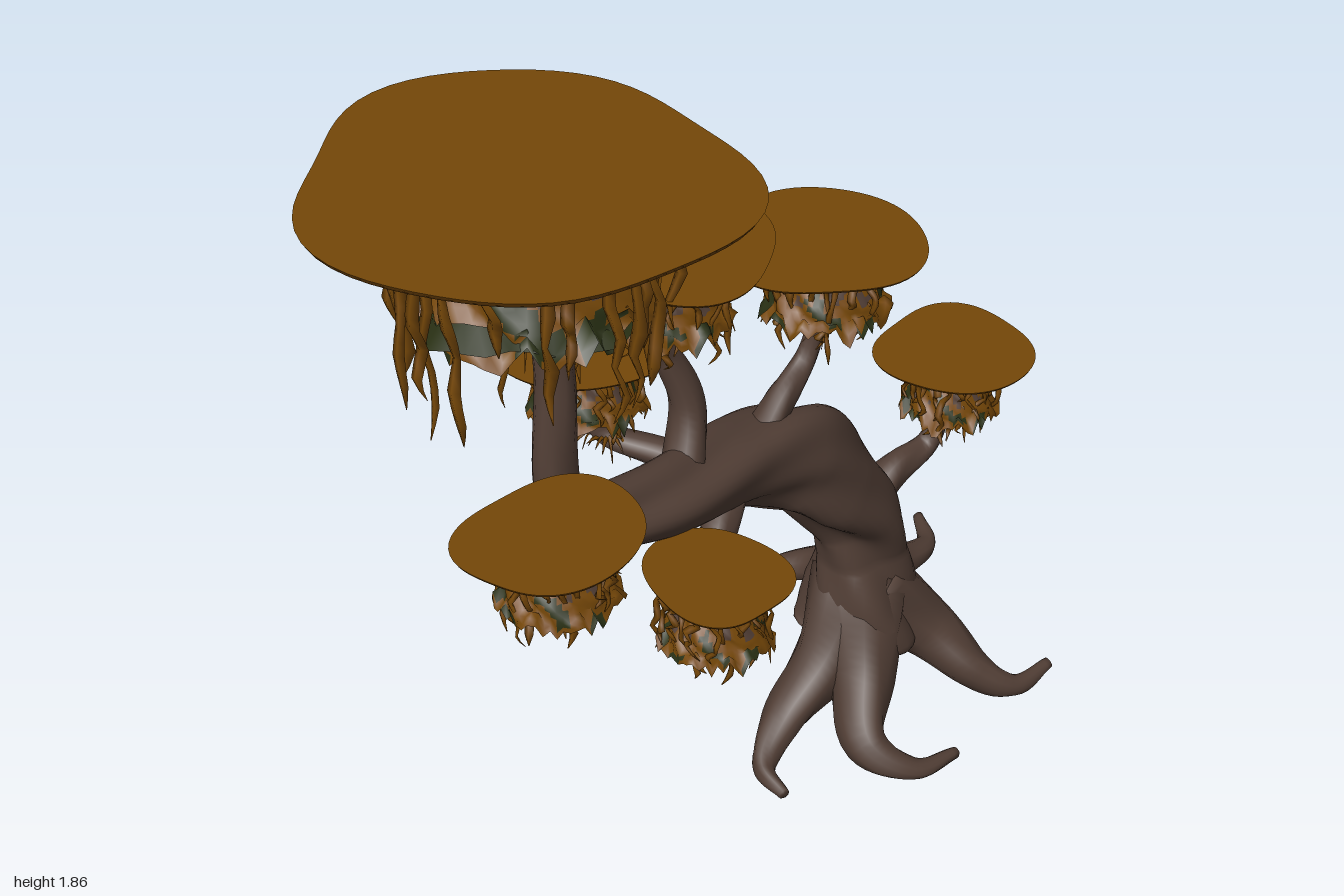
import * as THREE from 'three';
import { mergeGeometries } from 'three/addons/utils/BufferGeometryUtils.js';

const bark = new THREE.MeshStandardMaterial({ color: 0x513e35 });
bark.name = 'bark brown';
const ochre = new THREE.MeshStandardMaterial({ color: 0x754708, side: THREE.DoubleSide });
ochre.name = 'ochre foliage';
const green = new THREE.MeshStandardMaterial({ color: 0x293014, side: THREE.DoubleSide });
green.name = 'dark green foliage';

let seed = 7;
const rand = (a = 0, b = 1) => {
  seed = (seed * 16807) % 2147483647;
  return a + (b - a) * seed / 2147483647;
};

// Closed ring of n points from a function of the angle
const ringOf = (n, point) => Array.from({ length: n }, (_, j) => point(j / n * Math.PI * 2, j));

// Skin a list of equal-length closed rings; pick(i, j) chooses the material group
function loft(rings, pick = () => 0) {
  const n = rings[0].length, lists = [[], [], []];
  for (let i = 0; i < rings.length - 1; i++)
    for (let j = 0; j < n; j++) {
      const k = (j + 1) % n, a = i * n + j, b = i * n + k, c = a + n, d = b + n;
      lists[pick(i, j)].push(a, b, c, b, d, c);
    }
  const geo = new THREE.BufferGeometry().setFromPoints(rings.flat());
  geo.setIndex(lists.flat());
  let start = 0;
  lists.forEach((list, m) => {
    if (list.length < geo.index.count) geo.addGroup(start, list.length, m);
    start += list.length;
  });
  if (lists[0].length === geo.index.count) geo.clearGroups();
  geo.computeVertexNormals();
  return geo;
}

// Give a path of [x, y, z] points a radius that shrinks from r0 to r1
const taper = (path, r0, r1, power) => path.map((p, i) =>
  [...p, r1 + (r0 - r1) * (1 - i / (path.length - 1)) ** power]);

// Limb through [x, y, z, radius] points, with twisted ridges
function limb(points, { sides = 12, steps = 8, ridge = 0.07, twist = 5, flat = 1 } = {}) {
  const curve = new THREE.CatmullRomCurve3(points.map(p => new THREE.Vector3(p[0], p[1], p[2])));
  const spans = points.length - 1, total = spans * steps, rings = [];
  const N = new THREE.Vector3(0.31, 0.2, 0.93), B = new THREE.Vector3();
  for (let s = 0; s <= total; s++) {
    const t = s / total, k = Math.min(Math.floor(t * spans), spans - 1);
    const r = THREE.MathUtils.lerp(points[k][3], points[k + 1][3], t * spans - k);
    const P = curve.getPoint(t), T = curve.getTangent(t);
    N.addScaledVector(T, -N.dot(T)).normalize();
    B.crossVectors(T, N);
    const ring = ringOf(sides, a => {
      const q = r * (1 + ridge * Math.cos(3 * a + twist * t * 2) + ridge * 0.6 * Math.sin(5 * a + twist * t * 3));
      return P.clone().addScaledVector(N, q * Math.cos(a)).addScaledVector(B, q * flat * Math.sin(a));
    });
    if (s === 0) rings.push(ring.map(() => P));
    rings.push(ring);
    if (s === total) rings.push(ring.map(() => P));
  }
  return loft(rings);
}

// Flat-topped canopy plate: lobed oval with blunt corners and a sloping underside
function plate({ y, c, size, lobe, fold, thick }) {
  const profile = [[0, 0], [1, 0], [1, 0], [0.985, 0.2], [0.88, 0.42], [0.76, 1], [0.76, 1], [0.55, 0.8], [0, 0.7]];
  return loft(profile.map(([s, d]) => ringOf(64, a => {
    const q = s * (1 + 0.05 * Math.cos(3 * (a - lobe)) + 0.03 * Math.cos(fold[0] * (a - fold[1])));
    return new THREE.Vector3(c[0] + size[0] * q * Math.cos(a), y - d * thick, c[1] + size[1] * q * Math.sin(a));
  })));
}

// Ragged leafy dome in ochre, greener towards the rim, with bare bark near the top
function dome(x, y, z, r, h, greenness) {
  const rows = 14, rag = ringOf(60, () => rand(0.82, 1.12));
  const rings = Array.from({ length: rows + 1 }, (_, i) => {
    const t = i / rows;
    const s = t < 0.1 ? t * 4.5 : 0.45 + 0.42 * Math.sin((t - 0.1) * 1.75) + 0.15 * t ** 5;
    return ringOf(60, (a, j) => {
      const q = r * s * (1 + 0.05 * Math.sin(a * 7 + i) + rand(-0.03, 0.03));
      return new THREE.Vector3(x + q * Math.cos(a), y - h * t * (t > 0.8 ? rag[j] : 1), z + q * Math.sin(a));
    });
  });
  return loft(rings, (i, j) => {
    const t = i / rows, patch = Math.sin(j * 0.9 + Math.sin(i * 0.7) * 1.5) + Math.sin(i * 0.6 + j * 0.4);
    if (patch + 1.6 * t + rand(-0.5, 0.5) > 2.6 - greenness) return 1;
    return t < 0.6 && patch + rand(-0.4, 0.4) < -0.75 ? 2 : 0;
  });
}

// Wavy hanging strand
function vine(x, y, z, length, r) {
  const pts = [];
  for (let i = 0; i <= 6; i++) {
    const w = i ? 0.013 : 0;
    pts.push([x + rand(-w, w), y - length * i / 6, z + rand(-w, w), i === 6 ? 0.001 : r * rand(0.5, 1.25)]);
  }
  return limb(pts, { sides: 4, steps: 2, ridge: 0, flat: 0.6 });
}

const trunkPath = [[0.43, 0.16, 0.1, 0.09], [0.43, 0.22, 0.11, 0.145], [0.42, 0.32, 0.11, 0.13],
  [0.42, 0.45, 0.1, 0.106], [0.4, 0.57, 0.1, 0.11], [0.29, 0.72, 0.1, 0.12], [0.18, 0.85, 0.1, 0.117],
  [0, 0.92, 0.11, 0.098], [-0.25, 0.975, 0.15, 0.085], [-0.48, 1.03, 0.16, 0.065], [-0.66, 1.075, 0.23, 0.045],
  [-0.77, 1.12, 0.34, 0.032], [-0.8, 1.2, 0.41, 0.026], [-0.78, 1.3, 0.44, 0.02]];

// Branches, each with its start and end radius
const branches = [
  { r: [0.056, 0.036], path: [[-0.49, 1.03, 0.15], [-0.53, 1.15, 0.13], [-0.51, 1.4, 0.12], [-0.52, 1.65, 0.1]] },
  { r: [0.05, 0.018], path: [[-0.2, 0.95, 0.14], [-0.13, 1.12, 0.09], [-0.16, 1.25, 0.06], [-0.19, 1.31, 0.06], [-0.16, 1.42, 0.06]] },
  { r: [0.045, 0.016], path: [[0.05, 0.89, 0.1], [0.14, 1.02, 0.1], [0.22, 1.1, 0.1], [0.25, 1.3, 0.12]] },
  { r: [0.055, 0.018], path: [[0.44, 0.55, 0.1], [0.53, 0.62, 0.1], [0.64, 0.65, 0.11], [0.68, 0.82, 0.13]] },
  { r: [0.05, 0.016], path: [[-0.06, 0.9, 0.14], [-0.16, 0.81, 0.2], [-0.27, 0.735, 0.29], [-0.3, 0.85, 0.37]] },
  { r: [0.07, 0.016], path: [[0.29, 0.69, 0.08], [0.19, 0.66, -0.08], [0.12, 0.675, -0.26], [0.03, 0.72, -0.39], [0, 0.86, -0.4]] },
];

// Roots, from the trunk base out to the tip
const roots = [
  [[0.43, 0.33, 0.1], [0.58, 0.18, 0.03], [0.75, 0.09, -0.07], [0.91, 0.055, -0.1], [0.99, 0.05, -0.2]],
  [[0.44, 0.33, 0.09], [0.56, 0.18, -0.04], [0.6, 0.1, -0.2], [0.5, 0.04, -0.325], [0.365, 0.02, -0.23]],
  [[0.43, 0.33, 0.11], [0.55, 0.18, 0.21], [0.6, 0.09, 0.34], [0.67, 0.045, 0.42], [0.79, 0.05, 0.43]],
  [[0.42, 0.33, 0.11], [0.31, 0.18, 0.23], [0.21, 0.09, 0.35], [0.27, 0.04, 0.45], [0.4, 0.025, 0.47]],
  [[0.42, 0.34, 0.1], [0.27, 0.19, 0.14], [0.11, 0.1, 0.16], [0, 0.055, 0.21], [-0.02, 0.045, 0.3]],
];

// Canopies: plate height, centre, half-sizes, lobe angle and corners; leaf dome centre, radius and depth
const canopies = [
  { y: 1.87, c: [-0.572, 0.125], size: [0.405, 0.435], lobe: 0.95, fold: [5, 0.87], leaf: [-0.53, 0.09, 0.24, 0.25] },
  { y: 1.36, c: [-0.8, 0.455], size: [0.185, 0.158], lobe: 3.75, fold: [4, 0.7], leaf: [-0.78, 0.44, 0.12, 0.14] },
  { y: 1.53, c: [-0.15, 0.07], size: [0.205, 0.23], lobe: 0, fold: [3, 0], leaf: [-0.16, 0.06, 0.135, 0.16] },
  { y: 1.4, c: [0.235, 0.125], size: [0.22, 0.218], lobe: 3.14, fold: [4, 0], leaf: [0.25, 0.12, 0.14, 0.16] },
  { y: 0.91, c: [0.69, 0.13], size: [0.187, 0.185], lobe: 1.4, fold: [4, 0.7], leaf: [0.68, 0.13, 0.115, 0.14] },
  { y: 0.925, c: [-0.305, 0.365], size: [0.145, 0.165], lobe: 0.5, fold: [4, 0.8], leaf: [-0.31, 0.37, 0.12, 0.14] },
  { y: 1.01, c: [-0.01, -0.395], size: [0.222, 0.218], lobe: 1.3, fold: [4, 0.87], leaf: [0, -0.4, 0.14, 0.18] },
];

export function createModel() {
  const tree = new THREE.Group();
  tree.name = 'bonsaiTree';
  const add = (name, geo, mat, parent = tree) => {
    const mesh = new THREE.Mesh(geo, mat);
    mesh.name = name;
    parent.add(mesh);
  };

  add('trunk', limb(trunkPath, { sides: 36, ridge: 0.1, twist: 11 }), bark);
  branches.forEach(({ r, path }, i) => add(`branch${i + 1}`, limb(taper(path, r[0], r[1], 1.2)), bark));
  roots.forEach((path, i) => add(`root${i + 1}`, limb(taper(path, 0.115, 0.014, 1.5)), bark));

  canopies.forEach((o, i) => {
    const main = i === 0, [x, z, r, h] = o.leaf, thick = main ? 0.055 : 0.028;
    const spread = main ? 0.29 : r * 0.95, drop = main ? 0.34 : h + 0.02, top = o.y - thick * 0.65;
    const canopy = new THREE.Group();
    canopy.name = `canopy${i + 1}`;
    tree.add(canopy);
    add('canopyPlate', plate({ ...o, thick }), ochre, canopy);
    add('leafDome', dome(x, top, z, r, h, main ? 0.95 : 0.45), [ochre, green, bark], canopy);

    // Strands around the rim, with a shorter fringe under the dome
    const strands = [], vx = main ? x - 0.04 : x, vz = main ? z + 0.03 : z;
    for (let k = 0; k < 23; k++) {
      const a = k / 23 * Math.PI * 2 + rand(-0.15, 0.15), q = spread * rand(0.75, 1.1);
      strands.push(vine(vx + q * Math.cos(a), top, vz + q * Math.sin(a), drop * rand(0.55, 1.3), main ? 0.014 : 0.008));
      const b = rand(0, 6.28), f = r * rand(0.2, main ? 0.6 : 0.85);
      strands.push(vine(x + f * Math.cos(b), top - h * 0.65, z + f * Math.sin(b), h * rand(0.35, main ? 1.4 : 0.8), 0.007));
    }
    add('hangingVines', mergeGeometries(strands), ochre, canopy);

    // Twigs spreading from the branch into the dome
    const twigs = ringOf(5, a => {
      const ca = r * Math.cos(a + i), sa = r * Math.sin(a + i), y0 = top - h;
      const path = [[x, y0 - 0.03, z], [x + 0.3 * ca, y0 + 0.01, z + 0.3 * sa], [x + 0.6 * ca, y0 + h * 0.4, z + 0.6 * sa]];
      return limb(taper(path, 0.012, 0.004, 1), { sides: 6, steps: 4 });
    });
    add('twigs', mergeGeometries(twigs), bark, canopy);
  });

  // Ragged leaf rim below the largest dome
  const rim = [[0.2, 1.63], [0.25, 1.6], [0.25, 1.6], [0.19, 1.6]];
  add('leafRim', loft(rim.map(([q, y]) => ringOf(40, a => {
    const s = q * (1 + 0.06 * Math.sin(a * 5) + 0.04 * Math.sin(a * 13));
    return new THREE.Vector3(-0.53 + s * 1.08 * Math.cos(a), y + 0.015 * Math.sin(a * 3), 0.09 + s * 0.92 * Math.sin(a));
  }))), green);

  // Leaf tuft on the rear branch
  const tuft = ringOf(18, a => {
    const q = rand(0.04, 0.09), dx = q * Math.cos(a), dz = q * Math.sin(a);
    const path = [[0.04, 0.71, -0.38], [0.04 + dx * 0.6, 0.72, -0.38 + dz * 0.6], [0.04 + dx, 0.67 + rand(-0.02, 0.08), -0.38 + dz]];
    return limb(taper(path, 0.009, 0.001, 1), { sides: 4, steps: 2, ridge: 0 });
  });
  add('leafTuft', mergeGeometries(tuft), ochre);
  return tree;
}
